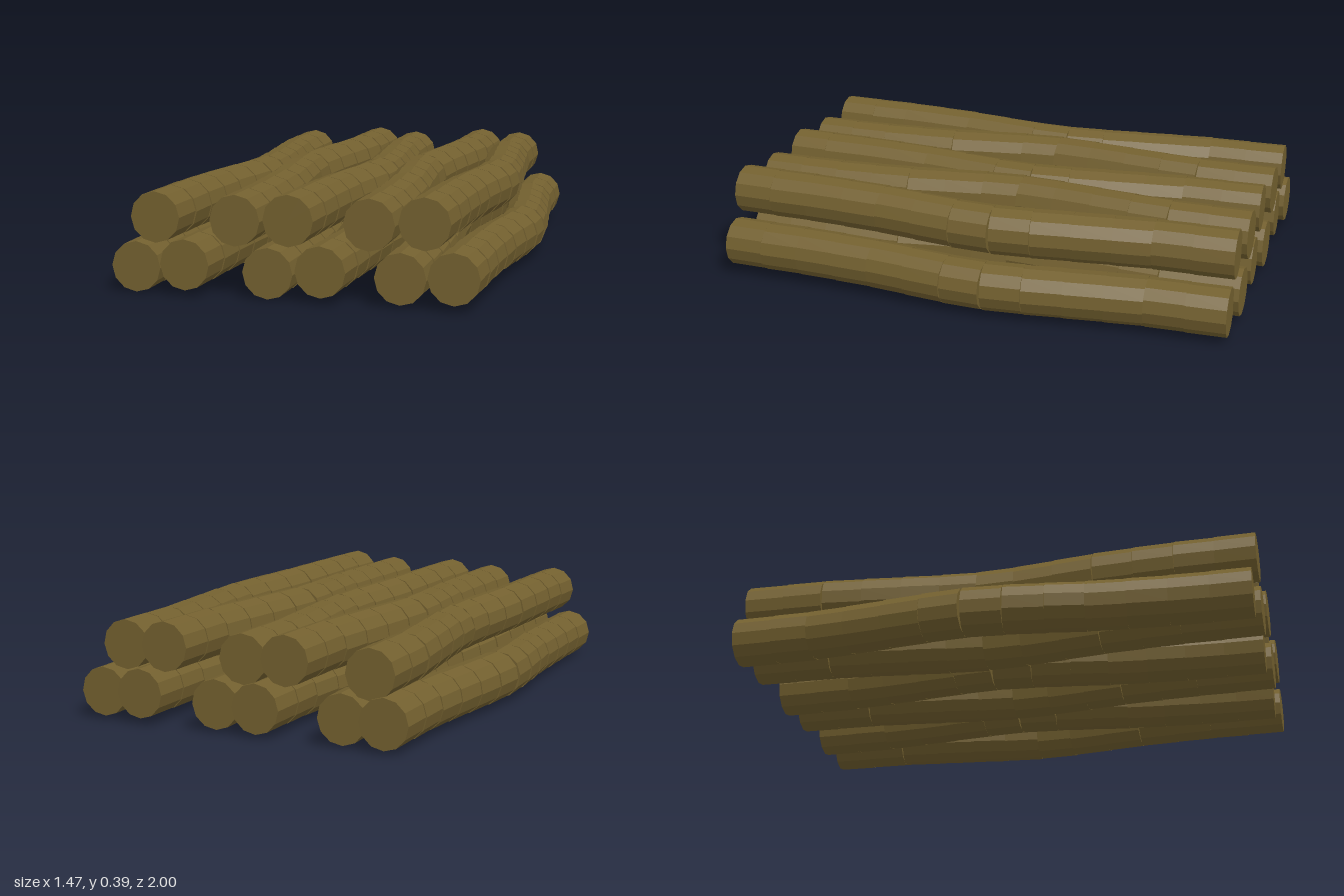
import * as THREE from 'three';

const RADIUS = 0.093, SIDES = 12, SEGMENTS = 13;
const UP = new THREE.Vector3(0, 1, 0);

// Sideways bend of a log, as [z, outward shift], front to back
const BEND = [[1, 0], [0.65, 0.005], [0.37, 0.018], [0.1, 0.047], [-0.08, 0.054],
  [-0.22, 0.042], [-0.38, 0.023], [-0.66, -0.009], [-1, -0.014]];

function bendAt(z) {
  for (let i = 1; i < BEND.length; i++) {
    const [z0, s0] = BEND[i - 1], [z1, s1] = BEND[i];
    if (z >= z1) return THREE.MathUtils.mapLinear(z, z0, z1, s0, s1);
  }
  return BEND[BEND.length - 1][1];
}

// A log is a chain of short, slightly misaligned cylinders.
// side: -1 bends towards -x and rises to the back, +1 bends towards +x and drops.
function makeLog(name, x, y, side, material) {
  const log = new THREE.Group();
  log.name = name;
  const front = side < 0 ? 0.98 : 1, back = side < 0 ? -1 : -0.985;
  const pointAt = (t) => {
    const z = THREE.MathUtils.lerp(front, back, t);
    const lift = -side * 0.012 * THREE.MathUtils.smoothstep(t, 0.1, 0.6);
    return new THREE.Vector3(x + side * bendAt(z), y + lift, z);
  };
  for (let i = 0; i < SEGMENTS; i++) {
    const a = pointAt(i / SEGMENTS), b = pointAt((i + 1) / SEGMENTS);
    // Small step at each joint
    if (i > 0) a.x += 0.004;
    const dir = a.clone().sub(b);
    const segment = new THREE.Mesh(
      new THREE.CylinderGeometry(RADIUS, RADIUS, dir.length(), SIDES), material);
    segment.name = 'logSegment';
    segment.position.copy(a).add(b).multiplyScalar(0.5);
    segment.quaternion.setFromUnitVectors(UP, dir.normalize());
    log.add(segment);
  }
  return log;
}

export function createModel() {
  const model = new THREE.Group();
  model.name = 'logStack';
  const wood = new THREE.MeshStandardMaterial({ color: 0x73602f, flatShading: true });

  // Front end of each log: x, y, bend side
  const bottomRow = [[-0.585, 0.093, -1], [-0.392, 0.113, 1], [-0.087, 0.094, -1],
    [0.112, 0.114, 1], [0.395, 0.102, -1], [0.588, 0.116, 1]];
  const topRow = [[-0.5, 0.281, 1], [-0.207, 0.278, -1], [-0.004, 0.29, 1],
    [0.284, 0.286, -1], [0.485, 0.302, 1]];
  bottomRow.forEach(([x, y, s], i) => model.add(makeLog(`bottomLog${i + 1}`, x, y, s, wood)));
  topRow.forEach(([x, y, s], i) => model.add(makeLog(`topLog${i + 1}`, x, y, s, wood)));
  return model;
}
